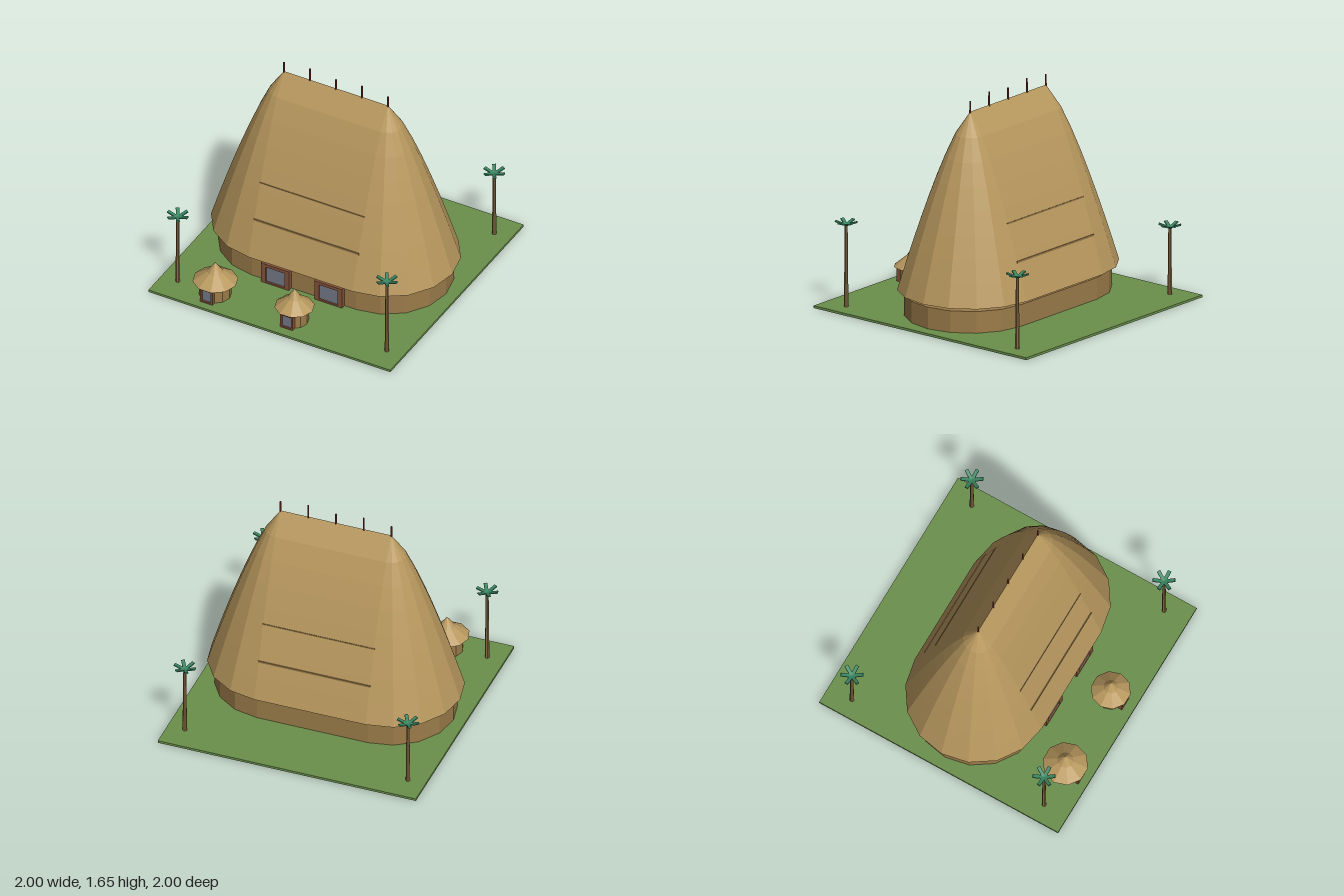
import * as THREE from 'three';

const mat = (name, color, flatShading = true) => {
  const m = new THREE.MeshStandardMaterial({ color, flatShading });
  m.name = name;
  return m;
};

// Ring of points: two half circles of radius r joined by a straight run of half length 0.43
const HALF = 0.43, SEG = 8;
function ring(r, y) {
  const pts = [];
  for (const side of [1, -1])
    for (let i = 0; i <= SEG; i++) {
      const a = -Math.PI / 2 + (Math.PI * i) / SEG;
      pts.push([side * (HALF + r * Math.cos(a)), y, side * r * Math.sin(a)]);
    }
  return pts;
}

// Closed solid through rings listed from bottom to top
function loft(rings) {
  const pos = [];
  const tri = (a, b, c) => pos.push(...a, ...b, ...c);
  const n = rings[0].length, top = rings[rings.length - 1];
  const c0 = [0, rings[0][0][1], 0], c1 = [0, top[0][1], 0];
  for (let i = 0; i < n; i++) {
    const j = (i + 1) % n;
    for (let k = 0; k < rings.length - 1; k++) {
      const L = rings[k], U = rings[k + 1];
      tri(L[i], U[i], L[j]);
      tri(L[j], U[i], U[j]);
    }
    tri(c0, rings[0][i], rings[0][j]);
    tri(c1, top[j], top[i]);
  }
  const g = new THREE.BufferGeometry();
  g.setAttribute('position', new THREE.Float32BufferAttribute(pos, 3));
  g.computeVertexNormals();
  return g;
}

export function createModel() {
  const model = new THREE.Group();
  model.name = 'thatchedVillage';
  const grass = mat('grass', 0x6a8f4b);
  const thatch = mat('thatch', 0xb8985e);
  const wallMat = mat('wall', 0x9c7c4a);
  const frameMat = mat('doorFrame', 0x85523a);
  const paneMat = mat('doorPane', 0x757a88);
  const poleMat = mat('ridgePole', 0x7d302c);
  const trunkMat = mat('trunk', 0x8b6c44);
  const leafMat = mat('leaf', 0x3a8762);

  const add = (parent, name, geo, material, x = 0, y = 0, z = 0) => {
    const m = new THREE.Mesh(geo, material);
    m.name = name;
    m.position.set(x, y, z);
    parent.add(m);
    return m;
  };
  const box = (w, h, d) => new THREE.BoxGeometry(w, h, d);

  add(model, 'ground', box(2, 0.018, 2), grass, 0, 0.009, 0);

  // Main hall: low wall, tall curved roof floating just above it
  add(model, 'hallWall', loft([ring(0.48, 0.015), ring(0.48, 0.182)]), wallMat);
  const rings = [];
  for (let i = 0; i <= 8; i++) {
    const t = i / 8;
    rings.unshift(ring(0.532 * Math.pow(t, 0.755), 1.55 - 1.335 * t));
  }
  add(model, 'hallRoof', loft(rings), thatch);

  // Thatch bands along both long slopes
  for (const s of [1, -1]) {
    add(model, 'lowerBand', box(0.87, 0.014, 0.016), wallMat, 0, 0.497, s * 0.441);
    add(model, 'upperBand', box(0.87, 0.01, 0.012), wallMat, 0, 0.77, s * 0.35);
  }

  // Poles on the ridge
  for (let i = 0; i < 5; i++) {
    const h = i % 2 ? 0.12 : 0.1;
    add(model, 'ridgePole', new THREE.CylinderGeometry(0.006, 0.007, h, 6), poleMat,
      -HALF + i * HALF / 2, 1.53 + h / 2, 0);
  }

  // Doorway: two posts, a lintel, a sill and a recessed pane
  function doorway(parent, x, z, w, h, post, lintel, depth) {
    const g = new THREE.Group();
    g.name = 'doorway';
    g.position.set(x, 0.018, z);
    for (const s of [1, -1])
      add(g, 'doorPost', box(post, h, depth), frameMat, s * (w - post) / 2, h / 2, 0);
    add(g, 'lintel', box(w - 2 * post, lintel, depth), frameMat, 0, h - lintel / 2, 0);
    add(g, 'sill', box(w - 2 * post, 0.012, depth), frameMat, 0, 0.006, 0);
    add(g, 'doorPane', box(w - 2 * post, h - lintel, depth * 0.6), paneMat, 0, (h - lintel) / 2, -depth * 0.1);
    parent.add(g);
  }
  for (const s of [1, -1]) doorway(model, s * 0.22, 0.495, 0.23, 0.168, 0.038, 0.026, 0.042);

  // Round huts with a two-stage conical roof
  for (const [x, r] of [[-0.555, 0.167], [0.1, 0.147]]) {
    const hut = new THREE.Group();
    hut.name = 'hut';
    hut.position.set(x, 0, 0.803);
    const wall = add(hut, 'hutWall', new THREE.CylinderGeometry(r * 0.71, r * 0.71, 0.13, 10), wallMat, 0, 0.083, 0);
    const profile = [[0, 0.145], [r, 0.145], [r * 0.36, 0.222], [0, 0.302]].map(p => new THREE.Vector2(...p));
    const roof = add(hut, 'hutRoof', new THREE.LatheGeometry(profile, 10), thatch);
    wall.rotation.y = roof.rotation.y = Math.PI / 10;
    doorway(hut, 0, r * 0.71, 0.102, 0.124, 0.014, 0.018, 0.036);
    model.add(hut);
  }

  // Palms, each with six upward-tilted leaves
  const leafGeo = box(0.086, 0.01, 0.026).translate(0.043, 0, 0);
  for (const [x, z, h] of [[-0.865, 0.805, 0.6], [0.865, 0.805, 0.64], [-0.865, -0.805, 0.525], [0.865, -0.805, 0.562]]) {
    const palm = new THREE.Group();
    palm.name = 'palm';
    palm.position.set(x, 0, z);
    add(palm, 'trunk', new THREE.CylinderGeometry(0.011, 0.017, h - 0.01, 7), trunkMat, 0, (h + 0.01) / 2, 0);
    for (let i = 0; i < 6; i++) {
      const leaf = add(palm, 'leaf', leafGeo, leafMat, 0, h - 0.005, 0);
      leaf.rotation.set(0, (i * Math.PI) / 3, 0.33);
    }
    model.add(palm);
  }
  return model;
}
